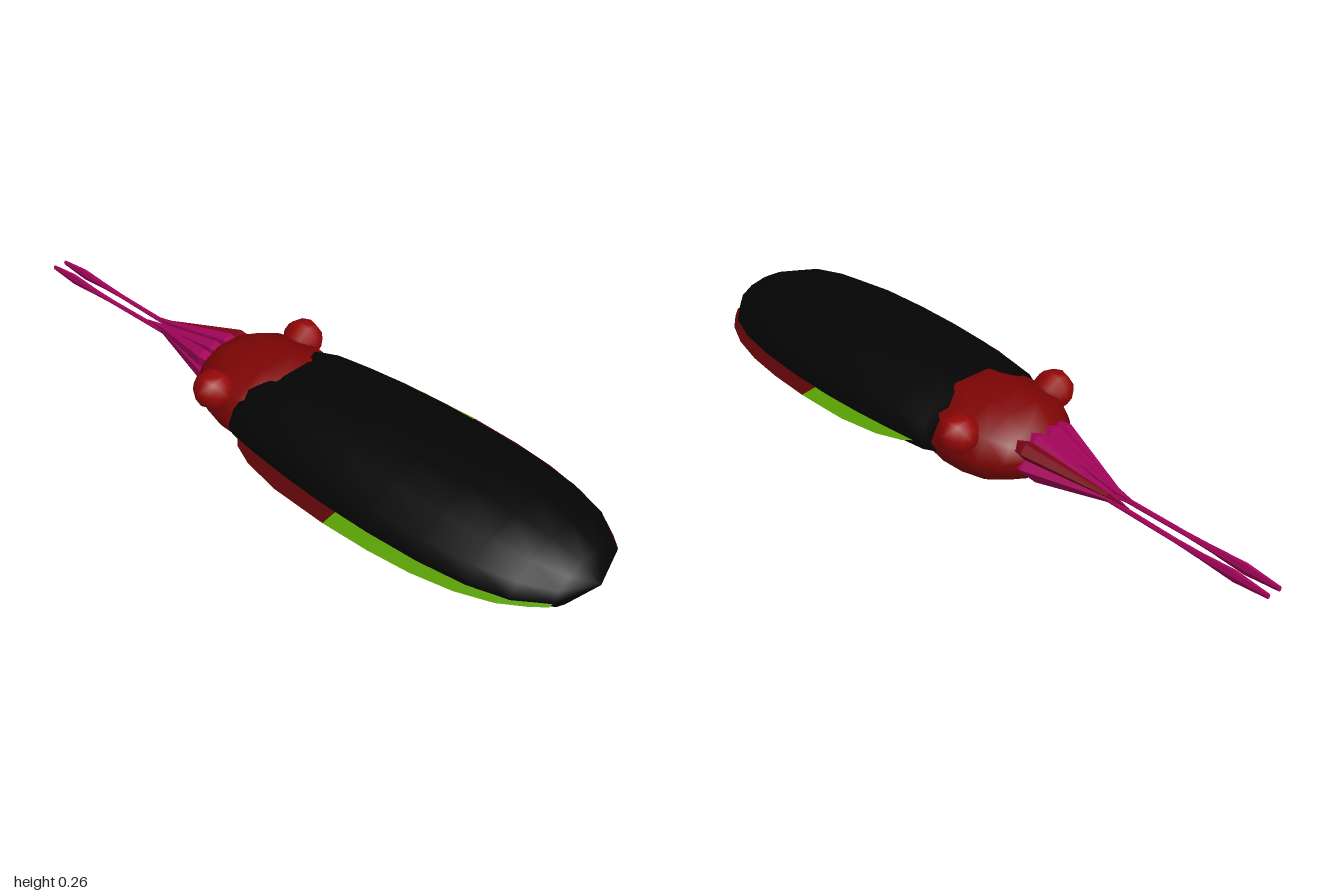
import * as THREE from 'three';

const mat = (name, color, side = THREE.FrontSide) => {
  const m = new THREE.MeshStandardMaterial({ color, side });
  m.name = name;
  return m;
};

const surface = (pos, idx, flat) => {
  let g = new THREE.BufferGeometry();
  g.setAttribute('position', new THREE.Float32BufferAttribute(pos, 3));
  g.setIndex(idx);
  if (flat) g = g.toNonIndexed();
  g.computeVertexNormals();
  return g;
};

// Skin over elliptical rings: [z, halfWidth, upperHeight, lowerHeight, x, y]
function loft(rings, sides, flat = false) {
  const pos = [], idx = [];
  for (const [z, rx, up, down, cx, cy] of rings) {
    for (let j = 0; j < sides; j++) {
      const a = (j / sides) * Math.PI * 2, s = Math.sin(a);
      pos.push(cx + rx * Math.cos(a), cy + s * (s > 0 ? up : down), z);
    }
  }
  for (let i = 0; i < rings.length - 1; i++) {
    for (let j = 0; j < sides; j++) {
      const k = (j + 1) % sides;
      const a = i * sides + j, b = i * sides + k, c = b + sides, d = a + sides;
      idx.push(a, b, c, a, c, d);
    }
  }
  return surface(pos, idx, flat);
}

// One face of a fin: a strip along [z, outerX], its inner edge at the given height
function finFace(outline, side, innerY, up) {
  const pos = [], idx = [];
  for (const [z, x] of outline) pos.push(side * (x - 0.047), innerY, z, side * x, 0.1325, z);
  for (let a = 0; a < outline.length * 2 - 2; a += 2) {
    if (side > 0 === up) idx.push(a, a + 2, a + 3, a, a + 3, a + 1);
    else idx.push(a, a + 3, a + 2, a, a + 1, a + 3);
  }
  return surface(pos, idx, true);
}

export function createModel() {
  const model = new THREE.Group();
  const black = mat('mantleBlack', 0x040404);
  const headRed = mat('headRed', 0x7e0404);
  const eyeRed = mat('eyeRed', 0x960606);
  const finRed = mat('finRed', 0x580406, THREE.DoubleSide);
  const green = mat('finGreen', 0x589e02, THREE.DoubleSide);
  const magenta = mat('armMagenta', 0xa6045c);
  const armRed = mat('armRed', 0x7c0418);
  const funnelRed = mat('funnelRed', 0x7e0404, THREE.DoubleSide);

  const add = (name, geometry, material) => {
    const m = new THREE.Mesh(geometry, material);
    m.name = name;
    model.add(m);
    return m;
  };

  // Mantle
  const mantle = [
    [-0.01, 0], [-0.03, 0.8], [0, 0.86], [0.1, 0.92], [0.22, 0.97], [0.35, 1], [0.5, 1],
    [0.65, 0.965], [0.78, 0.885], [0.88, 0.75], [0.96, 0.5], [1, 0],
  ].map(([z, s]) => {
    const h = s === 0 ? 0 : Math.min(1, s + 0.025);
    return [z, 0.245 * s, 0.122 * h, 0.087 * h, 0, 0.14];
  });
  add('mantle', loft(mantle, 14), black);

  // Head
  const head = [
    [-0.285, 0], [-0.27, 0.33], [-0.235, 0.64], [-0.18, 0.87], [-0.11, 0.98],
    [-0.04, 1], [0.02, 0.93], [0.06, 0.7], [0.08, 0],
  ].map(([z, s]) => {
    const h = Math.min(1, s * 1.08);
    return [z, 0.19 * s, 0.113 * h, 0.113 * h, 0, 0.14];
  });
  add('head', loft(head, 10), headRed);

  // Thick-walled funnel below the head, open at both ends
  add('funnel', loft([
    [-0.065, 0.042, 0.042, 0.042, 0, 0.044],
    [0.1, 0.033, 0.033, 0.033, 0, 0.044],
    [0.1, 0.022, 0.022, 0.022, 0, 0.04],
    [-0.065, 0.024, 0.024, 0.024, 0, 0.041],
  ], 8, true), funnelRed);

  const frontOutline = [[0.0, 0.19], [0.04, 0.23], [0.11, 0.26], [0.23, 0.283], [0.4, 0.29]];
  const rearOutline = [[0.4, 0.29], [0.54, 0.285], [0.66, 0.272], [0.77, 0.247], [0.86, 0.21], [0.92, 0.167], [0.955, 0.135]];

  for (const side of [1, -1]) {
    const label = side > 0 ? 'left' : 'right';

    // Fin: two colours along its length, swapped on the underside
    const [colourA, colourB] = side > 0 ? [green, finRed] : [finRed, green];
    add(label + 'FinFrontTop', finFace(frontOutline, side, 0.14, true), colourA);
    add(label + 'FinRearTop', finFace(rearOutline, side, 0.14, true), colourB);
    add(label + 'FinFrontUnderside', finFace(frontOutline, side, 0.1315, false), colourB);
    add(label + 'FinRearUnderside', finFace(rearOutline, side, 0.1315, false), colourA);

    // Eye
    const eyeShape = new THREE.SphereGeometry(0.056, 8, 6).rotateX(Math.PI / 2);
    const eye = add(label + 'Eye', eyeShape, eyeRed);
    eye.rotation.z = side * 0.19;
    eye.position.set(side * 0.167, 0.2, -0.115);

    // Four tapering arms, placed by where they leave the head
    [[0.026, 0.184], [0.067, 0.176], [0.066, 0.128], [0.03, 0.092]].forEach(([x, y], i) => {
      const lean = (y - 0.135) * 0.16;
      const arm = loft([
        [-0.57, 0, 0, 0, side * 0.014, 0.131 + lean * 0.5],
        [-0.5, 0.007, 0.008, 0.008, side * (0.01 + x * 0.09), 0.133 + lean],
        [-0.265, 0.025, 0.025, 0.025, side * x, y],
        [-0.2, 0.02, 0.02, 0.02, side * x, y],
      ], 5, true);
      add(label + 'Arm' + (i + 1), arm, side > 0 && i === 1 ? armRed : magenta);
    });

    // Long tentacle with a widened club at the tip
    const tentacle = [
      [-1, 0, 0, 0.02], [-0.998, 0.005, 0.007, 0.02], [-0.9, 0.009, 0.017, 0.02],
      [-0.8, 0.008, 0.009, 0.02], [-0.72, 0.007, 0.006, 0.019],
      [-0.5, 0.007, 0.007, 0.016], [-0.24, 0.008, 0.008, 0.016],
    ].map(([z, w, h, x]) => [z, w, h, h, side * x, 0.128]);
    add(label + 'Tentacle', loft(tentacle, 6, true), magenta);
  }
  return model;
}
